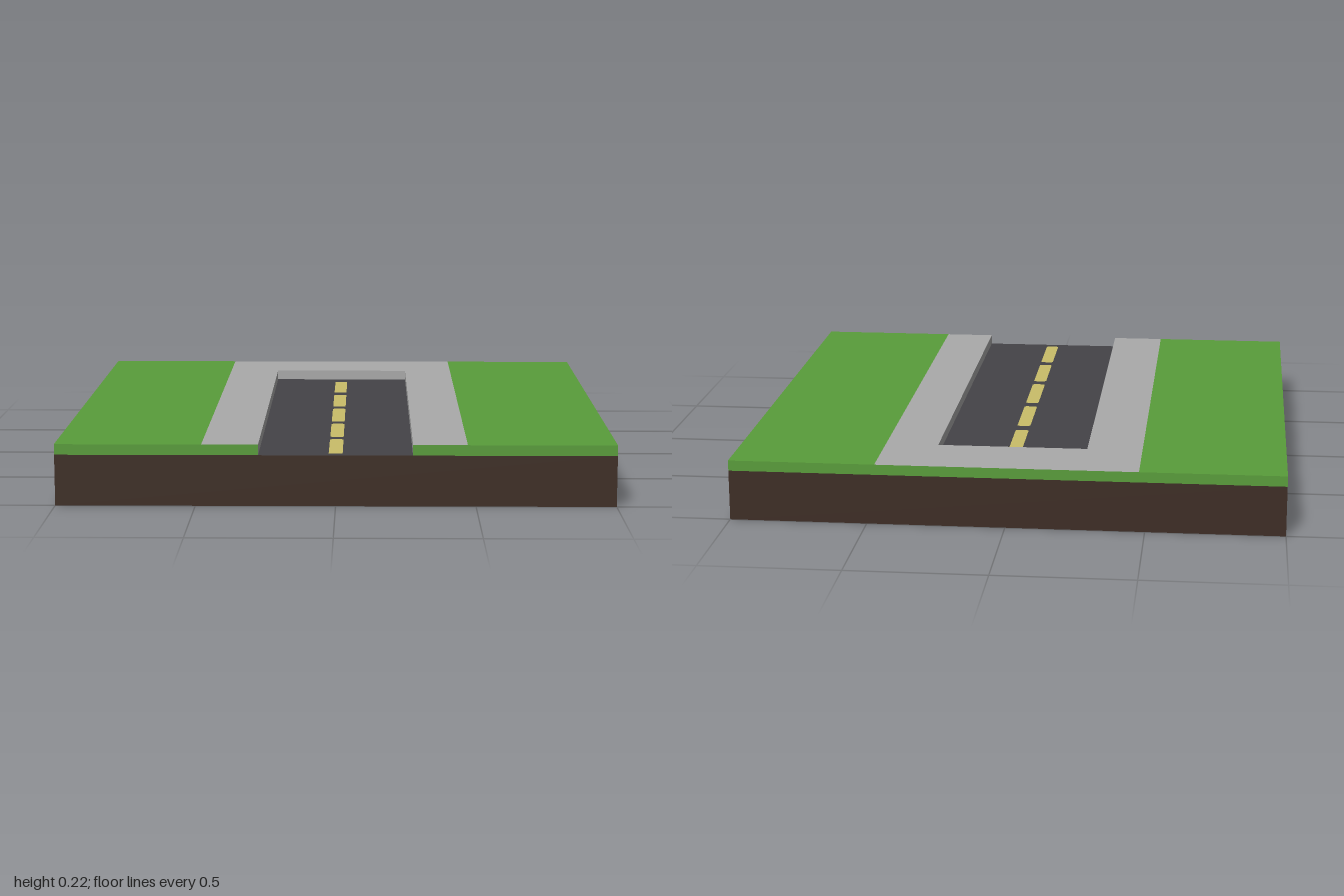
import * as THREE from 'three';

const BASE = 0.184, TOP = 0.222;   // road level and grass level
const ROAD = 0.275, END = -0.73;   // road half width and closed end
const PATH_L = -0.477, PATH_R = 0.469; // outer edges of the pavement

const mat = (name, color) =>
  new THREE.MeshStandardMaterial({ name, color, side: THREE.DoubleSide });

export function createModel() {
  const model = new THREE.Group();
  model.name = 'roadTile';
  const grass = mat('grass green', 0x599d3a);
  const soil = mat('soil brown', 0x3d2c23);
  const paving = mat('paving grey', 0xaaaaaa);
  const asphalt = mat('asphalt', 0x444347);
  const paint = mat('line yellow', 0xc9be69);

  const add = (name, geometry, material) => {
    const mesh = new THREE.Mesh(geometry, material);
    mesh.name = name;
    model.add(mesh);
    return mesh;
  };
  const outline = (pts) => pts.map(([x, z]) => new THREE.Vector2(x, -z));

  // Horizontal sheet from [x, z] corners, facing up
  const sheet = (name, pts, y, material, holes = []) => {
    const shape = new THREE.Shape(outline(pts));
    for (const h of holes) shape.holes.push(new THREE.Path(outline(h)));
    add(name, new THREE.ShapeGeometry(shape).rotateX(-Math.PI / 2), material).position.y = y;
  };
  const rect = (x0, x1, z0, z1) => [[x0, z1], [x1, z1], [x1, z0], [x0, z0]];

  // Upright strips along a run of [x, z] points
  const walls = (name, pts, y0, y1, material) => {
    for (let i = 0; i < pts.length - 1; i++) {
      const [x0, z0] = pts[i], [x1, z1] = pts[i + 1];
      const geo = new THREE.PlaneGeometry(Math.hypot(x1 - x0, z1 - z0), y1 - y0);
      const mesh = add(name, geo, material);
      mesh.position.set((x0 + x1) / 2, (y0 + y1) / 2, (z0 + z1) / 2);
      mesh.rotation.y = Math.atan2(z0 - z1, x1 - x0);
    }
  };

  // Open-bottomed soil skirt with a grass rim, broken where the road leaves
  walls('soilSide', [[-1, 1], [1, 1], [1, -1], [-1, -1], [-1, 1]], 0, BASE, soil);
  walls('grassRim', [[ROAD, 1], [1, 1], [1, -1], [-1, -1], [-1, 1], [-ROAD, 1]], BASE, TOP, grass);

  // Lawns on both sides
  sheet('lawnRight', rect(-1, PATH_L, -1, 1), TOP, grass);
  sheet('lawnLeft', rect(PATH_R, 1, -1, 1), TOP, grass);

  // U-shaped pavement and its kerb
  sheet('pavement', [[PATH_L, 1], [-ROAD, 1], [-ROAD, END], [ROAD, END],
    [ROAD, 1], [PATH_R, 1], [PATH_R, -1], [PATH_L, -1]], TOP, paving);
  walls('kerb', [[-ROAD, 1], [-ROAD, END], [ROAD, END], [ROAD, 1]], BASE, TOP, paving);

  // Road surface with the dashes let into it
  const dashes = [[-0.66, -0.373], [-0.315, -0.03], [0.02, 0.315], [0.362, 0.64], [0.685, 0.968]]
    .map(([a, b]) => {
      const w = 0.025, c = 0.007;
      return [[-w + c, b], [w - c, b], [w, b - c], [w, a + c],
        [w - c, a], [-w + c, a], [-w, a + c], [-w, b - c]];
    });
  sheet('road', rect(-ROAD, ROAD, END, 1), BASE, asphalt, dashes);
  for (const d of dashes) sheet('laneDash', d, BASE, paint);

  return model;
}
